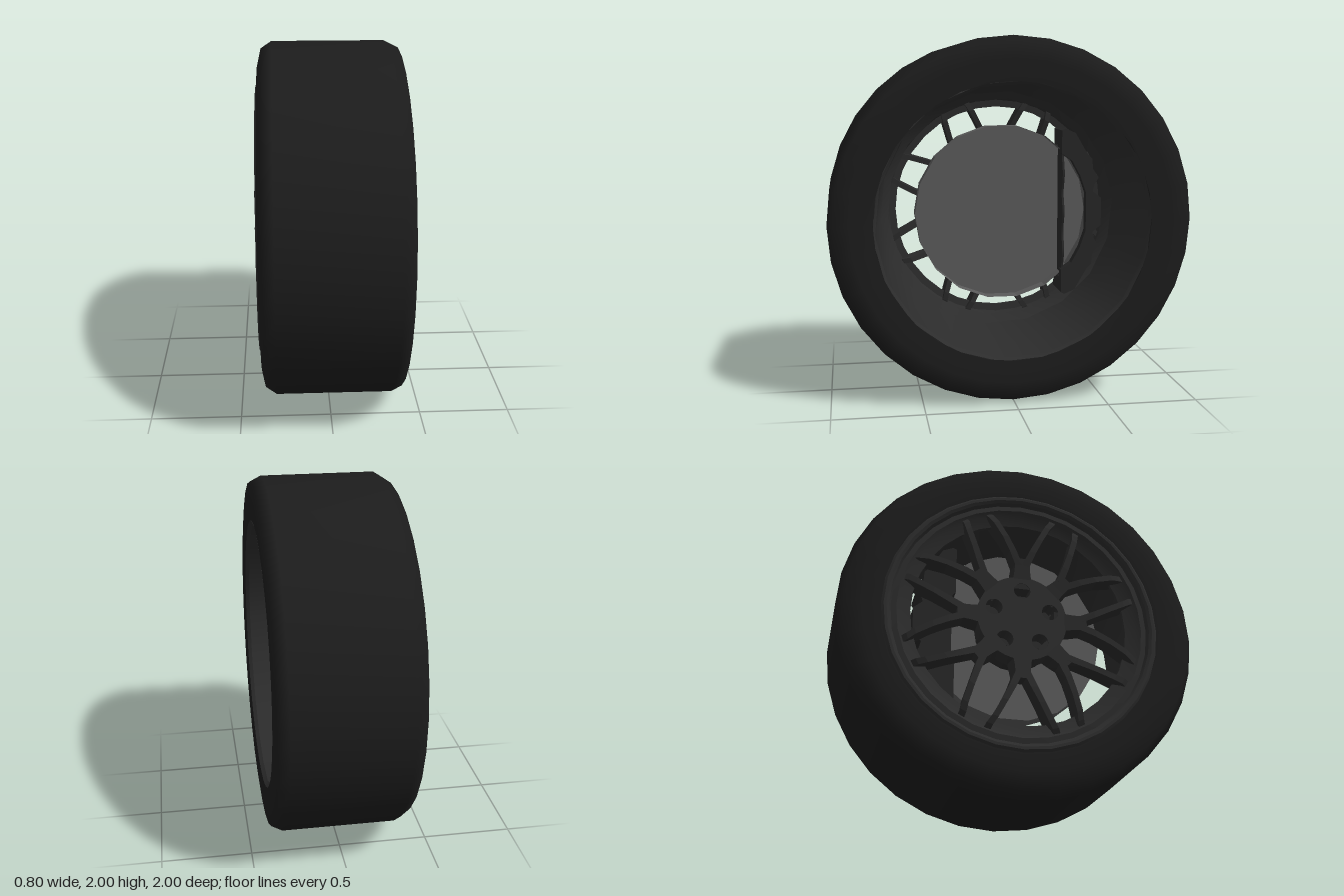
import * as THREE from 'three';
import { toCreasedNormals } from 'three/addons/utils/BufferGeometryUtils.js';

const paint = (color, flatShading = false) =>
  new THREE.MeshStandardMaterial({ color, flatShading, side: THREE.DoubleSide });
const rubber = paint(0x1c1c1c);
const alloy = paint(0x2c2c2c);
const alloyFlat = paint(0x2a2a2a, true);
const steel = paint(0x5a5a5a, true);
const iron = paint(0x262626);

function add(group, name, geometry, material) {
  const mesh = new THREE.Mesh(geometry, material);
  mesh.name = name;
  group.add(mesh);
}

// Revolve [x, radius] points around the x axis
function revolve(profile, sides) {
  const points = profile.map(([x, r]) => new THREE.Vector2(r, x));
  return new THREE.LatheGeometry(points, sides).rotateZ(-Math.PI / 2);
}

// Tapered bar through stations [radius, angle, frontX, depth, frontWidth, backWidth]
function bar(stations) {
  const rings = stations.map(([r, a, x, depth, wf, wb]) => {
    const corner = (px, s) => [px, r * Math.sin(a) + s * Math.cos(a), r * Math.cos(a) - s * Math.sin(a)];
    return [corner(x, -wf / 2), corner(x, wf / 2), corner(x + depth, wb / 2), corner(x + depth, -wb / 2)];
  });
  const out = [];
  const quad = (a, b, c, d) => out.push(...a, ...b, ...c, ...a, ...c, ...d);
  for (let i = 0; i < rings.length - 1; i++) {
    for (let k = 0; k < 4; k++) {
      const n = (k + 1) % 4;
      quad(rings[i][k], rings[i + 1][k], rings[i + 1][n], rings[i][n]);
    }
  }
  const last = rings[rings.length - 1];
  quad(...rings[0]);
  quad(last[3], last[2], last[1], last[0]);
  const geometry = new THREE.BufferGeometry();
  geometry.setAttribute('position', new THREE.Float32BufferAttribute(out, 3));
  geometry.computeVertexNormals();
  return geometry;
}

// Caliper slice: top-half outlines mirrored downward, extruded from x0 to x1
function caliperSlice(outer, inner, x0, x1) {
  const half = [...outer, ...inner];
  const mirrored = half.slice().reverse().map(([u, v]) => [u, -v]);
  const shape = new THREE.Shape([...half, ...mirrored].map(([u, v]) => new THREE.Vector2(u, v)));
  return new THREE.ExtrudeGeometry(shape, { depth: x1 - x0, bevelEnabled: false })
    .rotateY(Math.PI / 2).translate(x0, 0, 0);
}

export function createModel() {
  const model = new THREE.Group();
  model.name = 'wheel';
  const wheel = new THREE.Group();
  wheel.name = 'wheelAssembly';
  wheel.position.y = 1;
  model.add(wheel);

  // Tire with rounded shoulders
  add(wheel, 'tire', revolve([
    [-0.375, 0.75], [-0.385, 0.78], [-0.38, 0.87], [-0.36, 0.96], [-0.3, 1],
    [0.33, 1], [0.39, 0.97], [0.4, 0.88], [0.392, 0.76],
  ], 32), rubber);

  // Open barrel behind the spokes
  const barrel = revolve([
    [0.392, 0.765], [0.37, 0.75], [0, 0.725], [-0.2, 0.7], [-0.25, 0.655],
  ], 18).rotateX(0.07);
  add(wheel, 'rimBarrel', toCreasedNormals(barrel, 0.5), alloy);

  // Stepped outer lip with an inner flange that carries the spokes
  const lip = revolve([
    [-0.25, 0.66], [-0.3, 0.645], [-0.305, 0.605], [-0.325, 0.605], [-0.345, 0.66], [-0.365, 0.685],
    [-0.36, 0.715], [-0.382, 0.725], [-0.392, 0.74], [-0.392, 0.755], [-0.375, 0.775],
  ], 32);
  add(wheel, 'rimLip', toCreasedNormals(lip, 0.5), alloy);

  // Eight Y-shaped spokes
  const spokes = new THREE.Group();
  spokes.name = 'spokes';
  wheel.add(spokes);
  for (let i = 0; i < 8; i++) {
    const a = i * Math.PI / 4;
    add(spokes, 'spokeStem', bar([
      [0.18, a, -0.368, 0.1, 0.12, 0.14],
      [0.28, a, -0.38, 0.1, 0.09, 0.11],
      [0.36, a, -0.39, 0.09, 0.08, 0.09],
    ]), alloyFlat);
    for (const side of [-1, 1]) {
      add(spokes, 'spokeArm', bar([
        [0.32, a + side * 0.06, -0.385, 0.09, 0.042, 0.05],
        [0.41, a + side * 0.14, -0.397, 0.1, 0.038, 0.036],
        [0.5, a + side * 0.2, -0.4, 0.11, 0.034, 0.03],
        [0.6, a + side * 0.25, -0.388, 0.12, 0.034, 0.03],
        [0.645, a + side * 0.275, -0.372, 0.1, 0.036, 0.032],
        [0.685, a + side * 0.285, -0.345, 0.06, 0.038, 0.034],
      ]), alloyFlat);
    }
  }

  // Hub plate with five bolt holes
  const plate = new THREE.Shape().absarc(0, 0, 0.25, 0, Math.PI * 2);
  for (let i = 0; i < 5; i++) {
    const a = Math.PI / 2 + i * Math.PI * 2 / 5;
    plate.holes.push(new THREE.Path().absarc(0.165 * Math.cos(a), 0.165 * Math.sin(a), 0.046, 0, Math.PI * 2, true));
  }
  const hub = new THREE.ExtrudeGeometry(plate, { depth: 0.105, bevelEnabled: false, curveSegments: 16 })
    .rotateY(-Math.PI / 2).translate(-0.27, 0, 0);
  add(wheel, 'hubPlate', toCreasedNormals(hub, 0.6), alloy);
  add(wheel, 'hubBack', revolve([[-0.145, 0.22], [-0.28, 0.22], [-0.28, 0]], 20), alloyFlat);

  // Dished brake disc
  add(wheel, 'brakeDisc', revolve([[-0.05, 0.508], [-0.14, 0.508], [-0.14, 0]], 18), steel);

  // Caliper: plates on both sides of the disc edge joined by a bridge
  const caliper = new THREE.Group();
  caliper.name = 'brakeCaliper';
  wheel.add(caliper);
  const outer = [
    [0.575, 0.08], [0.525, 0.12], [0.535, 0.16], [0.56, 0.2], [0.525, 0.25],
    [0.52, 0.31], [0.49, 0.34], [0.42, 0.46], [0.36, 0.485], [0.34, 0.475],
  ];
  const rimEdge = [[0.34, 0.392], [0.41, 0.32], [0.47, 0.22], [0.508, 0.09]];
  const crescent = [[0.34, 0.34], [0.4, 0.3], [0.45, 0.21], [0.485, 0.11]];
  const flatEdge = [[0.34, 0.2], [0.36, 0.18]];
  add(caliper, 'innerPlate', caliperSlice(outer, crescent, -0.05, 0.005), iron);
  add(caliper, 'bridge', caliperSlice(outer, rimEdge, -0.15, -0.05), iron);
  add(caliper, 'outerPlate', caliperSlice(outer, flatEdge, -0.21, -0.15), iron);

  // Thin caliper wall across the disc with a wavy free edge
  const wall = new THREE.Shape().moveTo(-0.138, -0.47);
  for (let i = 0; i <= 40; i++) {
    const v = -0.47 + i * 0.94 / 40;
    wall.lineTo(-0.012 + 0.014 * Math.cos(v * 28), v);
  }
  wall.lineTo(-0.138, 0.47);
  const wallGeometry = new THREE.ExtrudeGeometry(wall, { depth: 0.012, bevelEnabled: false })
    .translate(0, 0, -0.358);
  add(caliper, 'wavyWall', toCreasedNormals(wallGeometry, 0.6), iron);

  return model;
}
